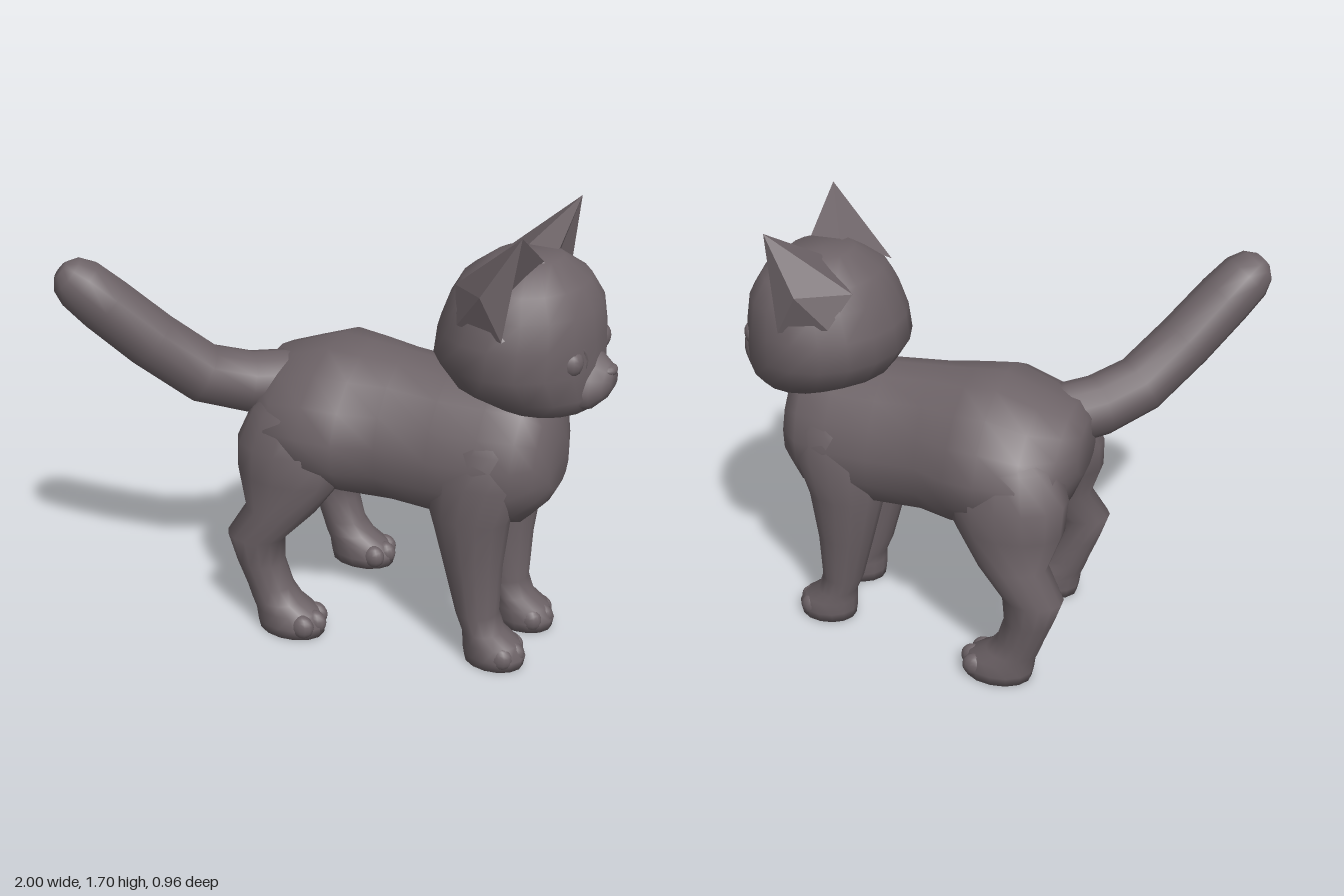
import * as THREE from 'three';

const V = (x, y, z) => new THREE.Vector3(x, y, z);

// Closed smooth skin over elliptical rings {c, A, B}; the rings advance along A x B.
function loft(rings, sides, taper = 0) {
  const pos = [], idx = [], n = rings.length;
  for (const { c, A, B } of rings) {
    for (let j = 0; j < sides; j++) {
      const t = (j / sides) * Math.PI * 2, k = Math.cos(t);
      const p = c.clone().addScaledVector(A, k).addScaledVector(B, Math.sin(t) * (1 - taper * k));
      pos.push(p.x, p.y, p.z);
    }
  }
  for (let i = 0; i < n - 1; i++) {
    for (let j = 0; j < sides; j++) {
      const k = (j + 1) % sides;
      const a = i * sides + j, b = i * sides + k, c = b + sides, d = a + sides;
      idx.push(a, b, c, a, c, d);
    }
  }
  const first = n * sides, last = first + 1;
  pos.push(...rings[0].c.toArray(), ...rings[n - 1].c.toArray());
  for (let j = 0; j < sides; j++) {
    const k = (j + 1) % sides;
    idx.push(first, k, j, last, (n - 1) * sides + j, (n - 1) * sides + k);
  }
  const g = new THREE.BufferGeometry();
  g.setAttribute('position', new THREE.Float32BufferAttribute(pos, 3));
  g.setIndex(idx);
  g.computeVertexNormals();
  return g;
}

// Rows for upright shapes: [y, centre x, half length, centre z, half width]
const upright = (rows, sides) => loft(rows.map(([y, x, a, z, b]) =>
  ({ c: V(x, y, z), A: V(0, 0, b), B: V(a, 0, 0) })), sides);

// Rows for lengthwise shapes: [x, bottom, top, half width]
const lengthwise = (rows, sides, taper) => loft(rows.map(([x, lo, hi, w]) =>
  ({ c: V(x, (lo + hi) / 2, 0), A: V(0, (hi - lo) / 2, 0), B: V(0, 0, w) })), sides, taper);

export function createModel() {
  const fur = new THREE.MeshStandardMaterial({ color: 0x6c6266 });
  const root = new THREE.Group();
  const cat = new THREE.Group();
  cat.name = 'cat';
  cat.rotation.y = -Math.PI / 15;
  cat.position.set(0.005, 0, -0.018);
  root.add(cat);

  const add = (parent, name, geo) => {
    const m = new THREE.Mesh(geo, fur);
    m.name = name;
    parent.add(m);
    return m;
  };
  const pair = (parent, name, geo) => {
    add(parent, name + 'Left', geo);
    add(parent, name + 'Right', geo).scale.z = -1;
  };
  const blob = (x, y, z, rx, ry, rz) =>
    new THREE.SphereGeometry(1, 14, 10).scale(rx, ry, rz).translate(x, y, z);

  // Torso
  add(cat, 'torso', lengthwise([
    [-0.365, 0.78, 0.99, 0.12], [-0.315, 0.66, 1.05, 0.27], [-0.2, 0.6, 1.09, 0.36],
    [-0.05, 0.57, 1.145, 0.39], [0.08, 0.55, 1.135, 0.355], [0.22, 0.54, 1.125, 0.285],
    [0.42, 0.53, 1.11, 0.275], [0.6, 0.53, 1.11, 0.268], [0.73, 0.56, 1.1, 0.24],
    [0.8, 0.64, 1.04, 0.19], [0.83, 0.7, 0.9, 0.1],
  ], 16, 0.16));

  // Legs with paws, running up into the shoulders and hips
  pair(cat, 'frontLeg', upright([
    [0, 0.67, 0.115, 0.153, 0.09], [0.04, 0.67, 0.122, 0.153, 0.099],
    [0.09, 0.655, 0.11, 0.153, 0.097], [0.13, 0.622, 0.08, 0.153, 0.088],
    [0.2, 0.595, 0.083, 0.153, 0.087], [0.4, 0.571, 0.115, 0.157, 0.1],
    [0.6, 0.555, 0.155, 0.165, 0.115], [0.75, 0.575, 0.19, 0.165, 0.117],
    [0.88, 0.59, 0.17, 0.145, 0.11], [0.98, 0.6, 0.12, 0.11, 0.085], [1.04, 0.6, 0.06, 0.08, 0.04],
  ], 14));
  pair(cat, 'hindLeg', upright([
    [0, -0.12, 0.135, 0.306, 0.095], [0.04, -0.122, 0.142, 0.306, 0.102],
    [0.09, -0.14, 0.13, 0.306, 0.098], [0.125, -0.18, 0.105, 0.306, 0.09],
    [0.18, -0.212, 0.092, 0.307, 0.085], [0.28, -0.247, 0.096, 0.314, 0.088],
    [0.39, -0.262, 0.118, 0.318, 0.095], [0.51, -0.17, 0.14, 0.29, 0.108],
    [0.65, -0.145, 0.215, 0.26, 0.14], [0.77, -0.135, 0.23, 0.24, 0.158],
    [0.9, -0.13, 0.185, 0.205, 0.145], [0.99, -0.12, 0.12, 0.16, 0.115], [1.05, -0.11, 0.06, 0.13, 0.05],
  ], 14));
  for (const k of [-1, 0, 1]) {
    const back = Math.abs(k) * 0.025;
    pair(cat, 'frontToe', blob(0.74 - back, 0.05, 0.153 + k * 0.056, 0.05, 0.048, 0.036));
    pair(cat, 'hindToe', blob(-0.02 - back, 0.05, 0.306 + k * 0.056, 0.05, 0.048, 0.036));
  }

  // Head
  const head = new THREE.Group();
  head.name = 'head';
  head.position.z = -0.03;
  cat.add(head);
  add(head, 'skull', upright([
    [1.0, 0.78, 0.1, 0, 0.09], [1.035, 0.74, 0.19, 0, 0.205], [1.1, 0.685, 0.275, 0, 0.29],
    [1.2, 0.648, 0.302, 0, 0.348], [1.3, 0.652, 0.295, 0, 0.335], [1.4, 0.662, 0.268, 0, 0.315],
    [1.48, 0.66, 0.22, 0, 0.265], [1.555, 0.665, 0.12, 0, 0.13],
  ], 18));
  add(head, 'muzzle', lengthwise([
    [0.8, 1.01, 1.34, 0.2], [0.89, 1.025, 1.29, 0.145], [0.945, 1.04, 1.24, 0.11],
    [0.98, 1.075, 1.21, 0.075], [1.0, 1.115, 1.195, 0.035],
  ], 14, 0.4));
  add(head, 'nose', blob(0.98, 1.18, 0, 0.028, 0.022, 0.04));
  pair(head, 'eye', blob(0.885, 1.24, 0.147, 0.045, 0.052, 0.05));
  const lid = new THREE.TorusGeometry(0.054, 0.01, 6, 14).rotateY(Math.PI / 2 - 0.45);
  pair(head, 'eyelid', lid.translate(0.9, 1.24, 0.15));

  // Ears: pointed shell with a hollow front
  const tip = V(0.745, 1.7, 0.29), inner = V(0.745, 1.56, 0.075), outer = V(0.7, 1.34, 0.325);
  const back = V(0.465, 1.465, 0.18), side = V(0.62, 1.49, 0.335), low = V(0.52, 1.36, 0.285);
  const hollow = V(0.69, 1.49, 0.23), front = V(0.83, 1.42, 0.19), crown = V(0.63, 1.56, 0.08);
  const faces = [
    [back, tip, crown], [crown, tip, inner], [back, side, tip], [back, low, side],
    [low, outer, side], [side, outer, tip], [tip, hollow, inner], [tip, outer, hollow],
    [inner, hollow, front], [hollow, outer, front],
  ];
  const ear = new THREE.BufferGeometry().setFromPoints(faces.flat());
  ear.computeVertexNormals();
  pair(head, 'ear', ear);

  // Tail: [x, y, z, radius], sweeping up and aside
  const tail = [
    [-0.18, 0.95, -0.01, 0.1], [-0.26, 0.95, 0.03, 0.12], [-0.38, 0.96, 0.1, 0.118],
    [-0.53, 1.015, 0.19, 0.115], [-0.69, 1.165, 0.28, 0.113], [-0.83, 1.315, 0.355, 0.11],
    [-0.905, 1.395, 0.39, 0.102], [-0.945, 1.435, 0.41, 0.077], [-0.965, 1.455, 0.42, 0.035],
  ];
  const centres = tail.map(([x, y, z]) => V(x, y, z));
  add(root, 'tail', loft(tail.map(([, , , r], i) => {
    const end = centres[Math.min(i + 1, tail.length - 1)];
    const T = end.clone().sub(centres[Math.max(i - 1, 0)]).normalize();
    const A = V(0, 1, 0).cross(T).normalize();
    return { c: centres[i], B: T.cross(A).multiplyScalar(r), A: A.multiplyScalar(r) };
  }), 12));
  return root;
}
